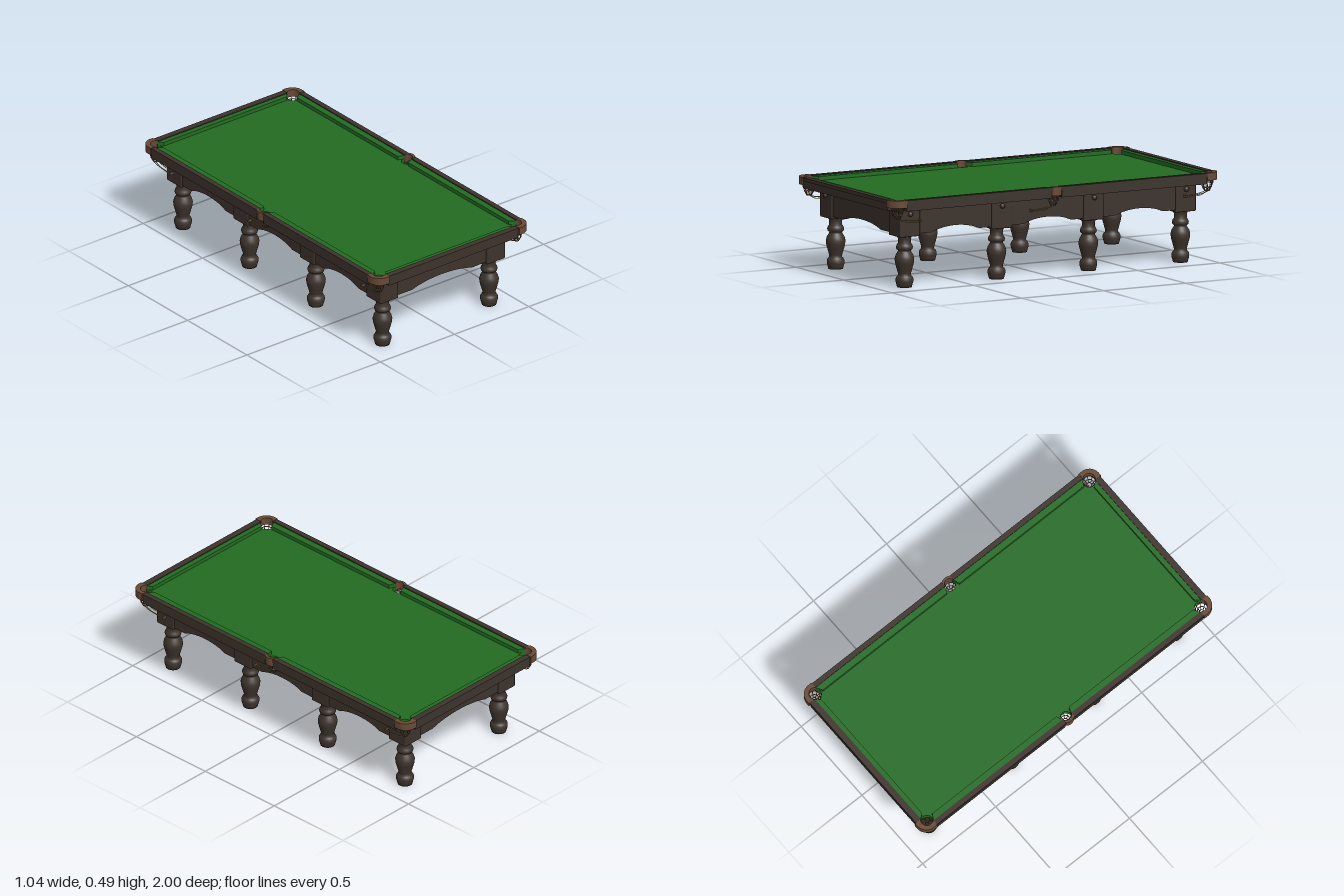
import * as THREE from 'three';
import { RoundedBoxGeometry } from 'three/addons/geometries/RoundedBoxGeometry.js';

const mat = (name, color) => Object.assign(new THREE.MeshStandardMaterial({ color }), { name });

export function createModel() {
  const wood = mat('darkWood', 0x3d332c);
  const cloth = mat('greenCloth', 0x236b22);
  const leather = mat('brownLeather', 0x684936);
  const brass = mat('brass', 0x9a8350);

  const model = new THREE.Group();
  model.name = 'billiardTable';
  const SIGNS = [1, -1];

  function add(name, geometry, material, x = 0, y = 0, z = 0, parent = model) {
    const mesh = new THREE.Mesh(geometry, material);
    mesh.name = name;
    mesh.position.set(x, y, z);
    parent.add(mesh);
    return mesh;
  }

  // Plan outline (x, z) extruded downward from top to bottom
  function slab(name, shape, top, bottom, material) {
    const g = new THREE.ExtrudeGeometry(shape, { depth: top - bottom, bevelEnabled: false, curveSegments: 16 });
    g.rotateX(Math.PI / 2);
    return add(name, g, material, 0, top, 0);
  }
  const polygon = (pts, sx = 1, sz = 1) =>
    new THREE.Shape(pts.map(([x, z]) => new THREE.Vector2(x * sx, z * sz)));
  const arcPoints = (cx, cz, r, a0, a1, n = 16) =>
    Array.from({ length: n + 1 }, (_, i) => {
      const a = a0 + (a1 - a0) * i / n;
      return [cx + r * Math.cos(a), cz + r * Math.sin(a)];
    });

  // Inner edge of the rails, and pocket circles cut along it
  const HX = 0.485, HZ = 0.96;
  const CX = 0.46, CZ = 0.938, CR = 0.034;
  const MX = 0.478, MR = 0.03;

  // Playfield outline; pockets bulge outward (rails) or bite inward (bed)
  function fieldOutline(path, bite) {
    const m = Math.acos((HX - MX) / MR);
    const a = -Math.acos((HX - CX) / CR), b = Math.PI - Math.asin((HZ - CZ) / CR);
    const P = Math.PI;
    [
      [MX, 0, MR, -m, m],
      [CX, CZ, CR, a, b],
      [-CX, CZ, CR, P - b, P - a],
      [-MX, 0, MR, P - m, P + m],
      [-CX, -CZ, CR, a + P, b + P],
      [CX, -CZ, CR, -b, -a],
    ].forEach(([x, z, r, s, e]) => path.absarc(x, z, r, s, e, bite));
    path.closePath();
    return path;
  }

  function roundedRect(hx, hz, r) {
    const s = new THREE.Shape();
    s.absarc(hx - r, hz - r, r, 0, Math.PI / 2);
    s.absarc(-hx + r, hz - r, r, Math.PI / 2, Math.PI);
    s.absarc(-hx + r, -hz + r, r, Math.PI, Math.PI * 1.5);
    s.absarc(hx - r, -hz + r, r, Math.PI * 1.5, Math.PI * 2);
    s.closePath();
    return s;
  }

  // Bed and wooden rail cap
  slab('bed', fieldOutline(new THREE.Shape(), true), 0.46, 0.43, cloth);
  const cap = roundedRect(0.514, 0.994, 0.06);
  cap.holes.push(fieldOutline(new THREE.Path(), false));
  slab('railCap', cap, 0.486, 0.467, wood);

  // Lower rail bands and cushions between the pockets
  for (const sz of SIGNS) {
    add('endRail', new THREE.BoxGeometry(0.874, 0.04, 0.029), wood, 0, 0.448, sz * 0.9755);
    slab('endCushion', polygon([[0.435, HZ], [-0.435, HZ], [-0.415, 0.933], [0.415, 0.933]], 1, sz), 0.481, 0.459, cloth);
    for (const sx of SIGNS) {
      add('sideRail', new THREE.BoxGeometry(0.025, 0.04, 0.885), wood, sx * 0.4985, 0.448, sz * 0.4725);
      slab('sideCushion', polygon([[HX, 0.03], [HX, 0.914], [0.45, 0.893], [0.45, 0.042]], sx, sz), 0.481, 0.459, cloth);
    }
  }

  // Net basket hanging under a pocket, with a sloping ball runner along dir * z
  function basket(x, z, dir) {
    const g = new THREE.Group();
    g.name = 'pocketBasket';
    g.position.set(x, 0, z);
    model.add(g);
    const tube = (name, pts, r, m) => add(name, new THREE.TubeGeometry(
      new THREE.CatmullRomCurve3(pts.map(p => new THREE.Vector3(...p))), 10, r, 5), m, 0, 0, 0, g);
    for (let i = 0; i < 8; i++) {
      const a = (i + 0.5) * Math.PI / 4, c = Math.cos(a), s = Math.sin(a);
      tube('netStrap', [[0.034, 0.452], [0.031, 0.43], [0.023, 0.405], [0.013, 0.385]]
        .map(([r, y]) => [r * c, y, r * s]), 0.0022, leather);
    }
    for (const [r, y, m] of [[0.033, 0.432, leather], [0.024, 0.405, brass], [0.013, 0.386, leather]]) {
      add('basketRing', new THREE.TorusGeometry(r, 0.0025, 6, 20).rotateX(Math.PI / 2), m, 0, y, 0, g);
    }
    for (const k of [-1, 0, 1]) {
      tube('ballRunner', [[k * 0.012, 0.386, 0], [k * 0.012, 0.376 - (k ? 0 : 0.008), dir * 0.03],
        [k * 0.012, 0.369 - (k ? 0 : 0.008), dir * 0.09], [k * 0.012, 0.364 - (k ? 0 : 0.006), dir * 0.135]], 0.002, brass);
    }
    add('runnerStop', new THREE.BoxGeometry(0.026, 0.016, 0.005), leather, 0, 0.366, dir * 0.135, g);
  }

  // Corner and middle pockets
  const cornerLeather = [
    ...arcPoints(0.455, 0.937, 0.063, 0, Math.PI / 2),
    [0.437, 1.0], [0.437, HZ],
    ...arcPoints(CX, CZ, 0.033, Math.PI - 0.75, -0.75),
    [HX, 0.915], [0.518, 0.915],
  ];
  const middleLeather = [
    ...arcPoints(MX, 0, 0.043, -0.75, 0.75),
    ...arcPoints(MX, 0, 0.029, 1.2, -1.2),
  ];
  for (const sx of SIGNS) {
    for (const sz of SIGNS) {
      slab('cornerPocketLeather', polygon(cornerLeather, sx, sz), 0.488, 0.447, leather);
      basket(sx * 0.463, sz * 0.942, -sz);
    }
    slab('middlePocketLeather', polygon(middleLeather, sx, 1), 0.488, 0.44, leather);
    basket(sx * 0.472, 0, sx);
  }

  // Under-frame and arched aprons
  add('underFrame', new THREE.BoxGeometry(0.818, 0.083, 1.778), wood, 0, 0.3875, 0);
  function apron(half, arch, x, z, turn) {
    const s = new THREE.Shape();
    s.moveTo(-half, 0.43);
    s.lineTo(-half, 0.287);
    s.lineTo(-arch, 0.287);
    s.bezierCurveTo(-arch * 0.45, 0.324, arch * 0.45, 0.324, arch, 0.287);
    s.lineTo(half, 0.287);
    s.lineTo(half, 0.43);
    s.closePath();
    const g = new THREE.ExtrudeGeometry(s, { depth: 0.025, bevelEnabled: false, curveSegments: 16 });
    g.translate(0, 0, -0.025);
    add('apron', g, wood, x, 0, z).rotation.y = turn;
  }
  for (const s of SIGNS) {
    apron(0.31, 0.2, 0, s * 0.893, s > 0 ? 0 : Math.PI);
    for (const z of [-0.56, 0, 0.56]) apron(0.23, 0.145, s * 0.412, z, s * Math.PI / 2);
  }

  // Turned legs with square blocks and bolt covers
  const profile = [[0, 0], [0.039, 0], [0.042, 0.012], [0.047, 0.03], [0.047, 0.045], [0.041, 0.057],
    [0.034, 0.062], [0.035, 0.075], [0.042, 0.1], [0.05, 0.13], [0.052, 0.15], [0.047, 0.17],
    [0.036, 0.188], [0.033, 0.196], [0.042, 0.202], [0.045, 0.213], [0.041, 0.225], [0.034, 0.235],
    [0.034, 0.258], [0.039, 0.268], [0.039, 0.28]].map(([r, y]) => new THREE.Vector2(r, y));
  const legGeo = new THREE.LatheGeometry(profile, 28);
  const blockGeo = new RoundedBoxGeometry(0.122, 0.156, 0.122, 2, 0.006);
  const boltGeo = new THREE.SphereGeometry(0.014, 16, 10);
  for (const sx of SIGNS) {
    for (const z of [-0.841, -0.28, 0.28, 0.841]) {
      add('leg', legGeo, wood, sx * 0.359, 0, z);
      add('legBlock', blockGeo, wood, sx * 0.359, 0.352, z);
      add('boltCover', boltGeo, wood, sx * 0.421, 0.395, z);
      if (Math.abs(z) > 0.5) add('boltCover', boltGeo, wood, sx * 0.359, 0.395, Math.sign(z) * 0.903);
    }
  }

  return model;
}
